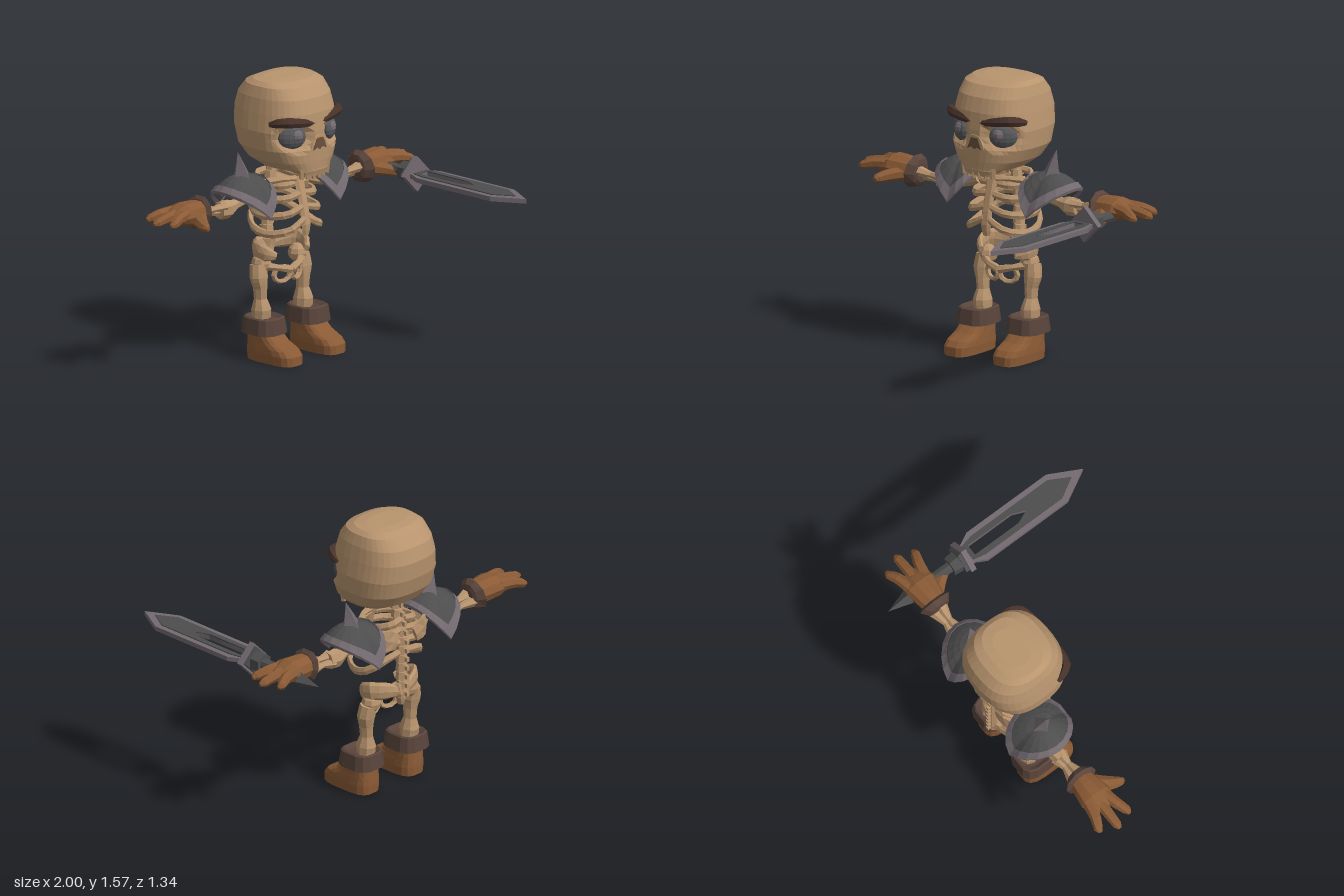
import * as THREE from 'three';

const paint = (name, color) => {
  const m = new THREE.MeshStandardMaterial({ color });
  m.name = name;
  return m;
};
const V = (x, y, z) => new THREE.Vector3(x, y, z);

// Faceted skin over rings of points; rings run counter-clockwise about the sweep direction
function loft(rings, capStart = true, capEnd = true) {
  const out = [], n = rings[0].length;
  const tri = (...ps) => ps.forEach(p => out.push(p.x, p.y, p.z));
  const mid = r => r.reduce((s, p) => s.add(p), V(0, 0, 0)).divideScalar(n);
  const first = rings[0], last = rings[rings.length - 1], a = mid(first), b = mid(last);
  for (let j = 0; j < n; j++) {
    const k = (j + 1) % n;
    for (let i = 0; i < rings.length - 1; i++) {
      const p = rings[i], q = rings[i + 1];
      tri(p[j], p[k], q[j]);
      tri(p[k], q[k], q[j]);
    }
    if (capStart) tri(a, first[k], first[j]);
    if (capEnd) tri(b, last[j], last[k]);
  }
  const g = new THREE.BufferGeometry();
  g.setAttribute('position', new THREE.Float32BufferAttribute(out, 3));
  g.computeVertexNormals();
  return g;
}

// Interpolate a table of number rows
function rowAt(rows, t) {
  const f = t * (rows.length - 1), i = Math.min(Math.floor(f), rows.length - 2);
  return rows[i].map((v, c) => v + (rows[i + 1][c] - v) * (f - i));
}

// Tapered bone-like sweep; radii rows are [sideways, upright]
function sweep(points, radii, sides = 7, n = (points.length - 1) * 2) {
  const curve = new THREE.CatmullRomCurve3(points.map(p => V(...p)));
  const vertical = Math.abs(curve.getTangent(0.5).y) > 0.8;
  const rings = [];
  for (let i = 0; i <= n; i++) {
    const p = curve.getPoint(i / n), t = curve.getTangent(i / n);
    const side = V(0, vertical ? 0 : 1, vertical ? 1 : 0).cross(t).normalize();
    const up = t.clone().cross(side), [rs, ru] = rowAt(radii, i / n);
    rings.push(Array.from({ length: sides }, (_, j) => {
      const a = j / sides * Math.PI * 2;
      return p.clone().addScaledVector(side, Math.cos(a) * rs).addScaledVector(up, Math.sin(a) * ru);
    }));
  }
  return loft(rings);
}

// Horizontal rounded ring given height, half width, front z and back z
function ring([y, w, zf, zb], power, sides, x0 = 0) {
  return Array.from({ length: sides }, (_, j) => {
    const a = (j + 0.5) / sides * Math.PI * 2, c = Math.cos(a), s = Math.sin(a);
    const f = v => Math.sign(v) * Math.abs(v) ** (2 / power);
    return V(x0 + w * f(c), y, (zf + zb) / 2 - (zf - zb) / 2 * f(s));
  });
}

function flat(g) {
  const r = g.index ? g.toNonIndexed() : g;
  r.computeVertexNormals();
  return r;
}

function mirrored(g) {
  const r = g.clone(), p = r.attributes.position;
  for (let i = 0; i < p.count; i += 3) {
    const t = [0, 2, 1].map(k => [-p.getX(i + k), p.getY(i + k), p.getZ(i + k)]);
    t.forEach((v, k) => p.setXYZ(i + k, ...v));
  }
  r.computeVertexNormals();
  return r;
}

export function createModel() {
  const bone = paint('bone', 0xb8946e), leather = paint('leather', 0x8a5a35);
  const cuffBrown = paint('dark leather', 0x59443b), browBrown = paint('brow brown', 0x49342c);
  const steel = paint('steel', 0x736a70), iron = paint('dark iron', 0x4d4d4e);
  const socketGrey = paint('socket grey', 0x57585b), shade = paint('nose brown', 0x6a513b);
  steel.side = iron.side = THREE.DoubleSide;
  const model = new THREE.Group();
  const add = (name, geo, mat) => {
    const m = new THREE.Mesh(flat(geo), mat);
    m.name = name;
    model.add(m);
  };
  const pair = (name, geo, mat) => {
    const g = flat(geo);
    add(name + 'Left', g, mat);
    add(name + 'Right', mirrored(g), mat);
  };

  // Skull with dented eye sockets
  const skull = [[1.045, .085, -.165, -.21], [1.075, .125, -.155, -.32], [1.085, .165, -.155, -.5],
    [1.13, .215, -.152, -.585], [1.2, .252, -.15, -.635], [1.3, .258, -.15, -.665], [1.4, .243, -.157, -.672],
    [1.48, .228, -.18, -.65], [1.54, .208, -.225, -.6], [1.562, .18, -.28, -.55], [1.57, .12, -.34, -.5]];
  const skullRings = Array.from({ length: 31 }, (_, i) => ring(rowAt(skull, i / 30), 2.6, 40));
  skullRings.flat().forEach(p => {
    const d = ((Math.abs(p.x) - .145) / .1) ** 2 + ((p.y - 1.275) / .085) ** 2;
    if (p.z > -.36 && d < 1) p.z -= .06 * (1 - d);
  });
  add('skull', loft(skullRings), bone);
  pair('eyeSocket', new THREE.SphereGeometry(1, 14, 8).scale(.08, .068, .04).rotateY(.6).translate(.147, 1.275, -.222), socketGrey);
  pair('eyeball', new THREE.SphereGeometry(.042, 10, 7).translate(.13, 1.285, -.205), steel);
  pair('brow', sweep([[.03, 1.345, -.165], [.12, 1.36, -.175], [.2, 1.37, -.2], [.235, 1.365, -.245], [.25, 1.355, -.29]],
    [[.012, .018], [.02, .028], [.026, .03], [.02, .028], [.01, .015]], 6), browBrown);
  const nose = new THREE.Shape([[-.05, 0], [-.02, .012], [0, 0], [.02, .012], [.05, 0], [.022, .065], [-.022, .065]]
    .map(p => new THREE.Vector2(...p)));
  add('noseHole', new THREE.ExtrudeGeometry(nose, { depth: .008, bevelEnabled: false }).translate(0, 1.195, -.154), shade);
  pair('noseRidge', sweep([[0, 1.268, -.156], [.03, 1.262, -.156], [.06, 1.195, -.158]], [[.012, .012], [.01, .01]], 5), bone);
  for (const x of [.02, .06, .1])
    pair('tooth', new THREE.CylinderGeometry(.02, .013, .06, 5).translate(x, 1.055 + x * .1, -.17 - x * .2), bone);

  // Spine and neck
  for (let i = 0; i < 11; i++) {
    const y = .57 + i * .052, z = y < .9 ? -.54 : -.54 + (y - .9) * .25;
    add('vertebra', new THREE.CylinderGeometry(.03, .036, .046, 7).translate(0, y, z), bone);
    add('vertebraSpur', new THREE.BoxGeometry(.02, .025, .04).translate(0, y, z - .03), bone);
  }

  // Rib cage: height, half width, front z, droop
  for (const [y, w, zf, dip] of [[.98, .13, -.31, .01], [.92, .175, -.285, .02], [.85, .195, -.265, .04], [.785, .2, -.25, .075]])
    pair('rib', sweep([[.015, y + .03, -.54], [w * .6, y + .02, -.545], [w * .97, y - dip * .6, -.47], [w * .95, y - dip, -.37],
      [w * .6, y - dip * .7, zf - .01], [.015, y, zf]], [[.016, .02], [.016, .024], [.016, .024], [.014, .02]], 6, 12), bone);
  add('sternum', sweep([[0, 1.01, -.31], [0, .9, -.28], [0, .75, -.25], [0, .69, -.255]],
    [[.04, .02], [.033, .018], [.036, .018], [.025, .014]], 6), bone);
  pair('collarbone', sweep([[.02, 1, -.31], [.1, 1.005, -.34], [.22, .99, -.43]], [[.02, .02], [.015, .016], [.025, .025]], 6), bone);
  pair('shoulderBlade', sweep([[.07, .9, -.57], [.14, .93, -.565], [.22, .96, -.5]], [[.012, .05], [.012, .07], [.025, .03]], 6), bone);

  // Pelvis
  add('sacrum', sweep([[0, .63, -.53], [0, .57, -.54], [0, .5, -.53]], [[.06, .03], [.05, .03], [.02, .02]], 7), bone);
  pair('hipWing', sweep([[.02, .585, -.54], [.1, .6, -.52], [.165, .605, -.47], [.16, .585, -.4], [.12, .57, -.36]],
    [[.02, .03], [.02, .05], [.022, .055], [.02, .045], [.014, .02]], 8), bone);
  pair('hipSocket', new THREE.SphereGeometry(.055, 8, 6).translate(.145, .525, -.45), bone);
  pair('pubicRing', new THREE.TorusGeometry(.047, .015, 5, 10).scale(1.1, .9, 1).rotateY(.3).translate(.055, .455, -.38), bone);
  pair('pubicBar', sweep([[.15, .51, -.43], [.08, .495, -.38], [0, .475, -.36]], [[.025, .025], [.018, .018], [.02, .025]], 6), bone);

  // Legs and boots
  pair('legBone', sweep([[.165, .2, -.43], [.167, .27, -.43], [.168, .33, -.435], [.17, .39, -.435], [.175, .45, -.44], [.17, .52, -.45]],
    [[.05, .05], [.05, .06], [.033, .038], [.036, .042], [.052, .048], [.046, .046]], 8, 15), bone);
  const boot = [[0, .083, -.157, -.49], [.05, .086, -.158, -.492], [.08, .084, -.185, -.49], [.11, .081, -.255, -.487],
    [.15, .078, -.305, -.485], [.18, .078, -.305, -.485]];
  pair('boot', loft(boot.map(r => ring(r, 3.4, 16, .171))), leather);
  const bootCuff = [[.155, .075, -.31, -.48], [.15, .104, -.285, -.518], [.235, .093, -.297, -.508], [.242, .085, -.31, -.5], [.225, .06, -.34, -.47]];
  pair('bootCuff', loft(bootCuff.map(r => ring(r, 3.2, 12, .173))), cuffBrown);

  // Arms
  pair('upperArm', sweep([[.2, .95, -.45], [.27, .92, -.45], [.36, .895, -.45], [.42, .885, -.45], [.48, .885, -.45]],
    [[.045, .045], [.035, .035], [.03, .03], [.05, .055], [.04, .05]], 7), bone);
  for (const k of [-1, 1])
    pair('forearm', sweep([[.455, .89 + k * .018, -.45 + k * .018], [.53, .893 + k * .013, -.45 + k * .012], [.62, .905 + k * .015, -.45 + k * .025]],
      [[.032, .028], [.018, .017], [.035, .033]], 6), bone);

  // Gloves
  pair('gloveCuff', sweep([[.6, .905, -.445], [.61, .905, -.445], [.65, .912, -.445], [.665, .915, -.445]],
    [[.045, .055], [.065, .08], [.1, .097], [.075, .075]], 10, 3), cuffBrown);
  pair('palm', sweep([[.64, .915, -.445], [.7, .918, -.445], [.78, .925, -.445], [.86, .915, -.445]],
    [[.07, .065], [.082, .07], [.095, .066], [.075, .035]], 10), leather);
  for (const [x, z0, z1] of [[.955, -.5, -.542], [1, -.45, -.448], [.965, -.4, -.355]])
    pair('finger', sweep([[.79, .935, z0], [.88, .93, (z0 + z1) / 2], [x - .025, .915, z1], [x, .91, z1]],
      [[.036, .036], [.031, .032], [.026, .024], [.01, .01]], 7), leather);
  pair('thumb', sweep([[.7, .9, -.4], [.75, .89, -.33], [.775, .88, -.27], [.775, .878, -.25]],
    [[.05, .04], [.04, .034], [.026, .026], [.012, .012]], 7), leather);

  // Pauldrons: saddle-cut domes with a rim and a leaning spike
  const domeRing = (v, lift = 0) => Array.from({ length: 20 }, (_, j) => {
    const a = j / 20 * Math.PI * 2, c = Math.cos(a), s = Math.sin(a);
    const low = .838 + Math.abs(c) * (c > 0 ? .145 : .17);
    return V(.305 + v * .157 * c - .03 * v * s * s, 1.06 - (1.06 - low) * v ** 2 + lift, -.45 - v * .195 * s);
  });
  pair('pauldron', loft([.95, .8, .62, .42, .2].map(v => domeRing(v)), false), iron);
  pair('pauldronRim', loft([domeRing(.93, -.015), domeRing(1, -.012), domeRing(1.02, .008), domeRing(.86, .012), domeRing(.85, -.005)], false, false), steel);
  pair('pauldronSpike', sweep([[.3, 1.03, -.45], [.312, 1.09, -.448], [.337, 1.185, -.445]],
    [[.062, .062], [.038, .038], [.002, .002]], 4), steel);

  // Sword: slotted blade lying flat, pointing forward
  const bladePart = (outline, thick) => {
    const toPts = a => a.map(p => new THREE.Vector2(...p));
    const shape = new THREE.Shape(toPts(outline));
    shape.holes.push(new THREE.Path(toPts([[-.034, -.1], [-.034, .2], [0, .28], [.034, .2], [.034, -.1]])));
    return new THREE.ExtrudeGeometry(shape, { depth: thick, bevelEnabled: false }).rotateX(Math.PI / 2)
      .translate(.77, .897 + thick / 2, 0);
  };
  add('bladeEdge', bladePart([[-.06, -.15], [.06, -.15], [.065, -.12], [.097, -.06], [.097, .49], [0, .67], [-.097, .49], [-.097, -.06], [-.065, -.12]], .026), steel);
  add('bladeCore', bladePart([[-.05, -.125], [.05, -.125], [.066, -.05], [.066, .475], [0, .59], [-.066, .475], [-.066, -.05]], .036), iron);
  // Sword fittings: name, front radius, back radius, sides, back z, front z
  for (const [name, r1, r2, n, z0, z1, mat] of [['guard', .1, .1, 4, -.172, -.14, steel], ['guardBack', .082, .082, 4, -.195, -.172, iron],
    ['collar', .062, .056, 6, -.25, -.195, iron], ['grip', .032, .032, 8, -.53, -.25, iron], ['pommelSpike', .045, .001, 4, -.67, -.53, iron]])
    add(name, new THREE.CylinderGeometry(r1, r2, z1 - z0, n).rotateX(Math.PI / 2).translate(.77, .897, (z0 + z1) / 2), mat);
  return model;
}
